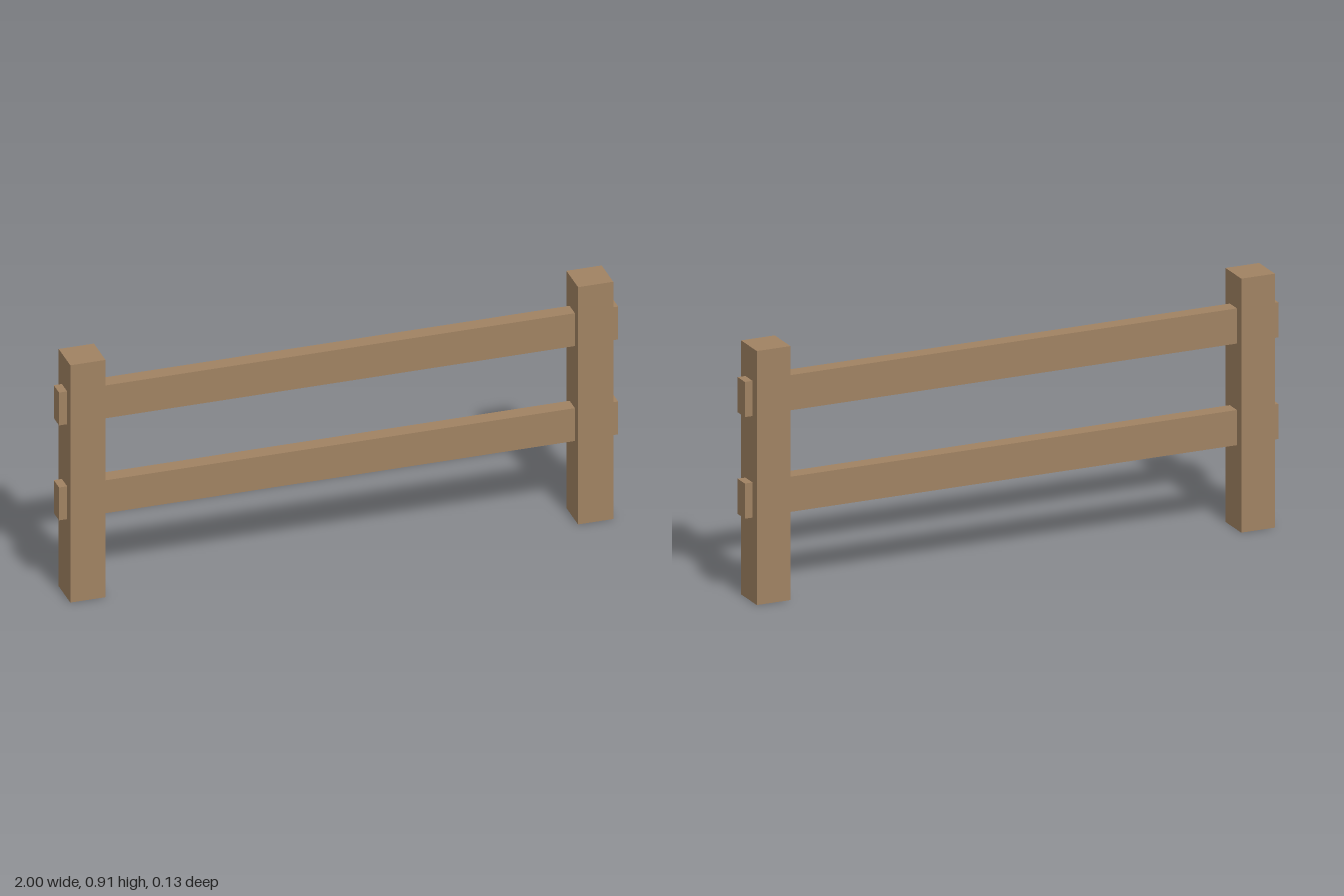
import * as THREE from 'three';

const POST = { width: 0.126, height: 0.91, x: 0.908 };
const RAIL = { length: 2, height: 0.126, depth: 0.057, levels: [0.366, 0.73] };

export function createModel() {
  const group = new THREE.Group();
  group.name = 'fence';
  const wood = new THREE.MeshStandardMaterial({ color: 0xa08262, flatShading: true });

  const addBeam = (name, size, position) => {
    const mesh = new THREE.Mesh(new THREE.BoxGeometry(...size), wood);
    mesh.name = name;
    mesh.position.set(...position);
    group.add(mesh);
  };

  // Square upright posts
  for (const [name, side] of [['leftPost', 1], ['rightPost', -1]]) {
    addBeam(name, [POST.width, POST.height, POST.width], [side * POST.x, POST.height / 2, 0]);
  }

  // Horizontal rails, passing through the posts with short protruding ends
  ['lowerRail', 'upperRail'].forEach((name, i) => {
    addBeam(name, [RAIL.length, RAIL.height, RAIL.depth], [0, RAIL.levels[i], 0]);
  });

  return group;
}
